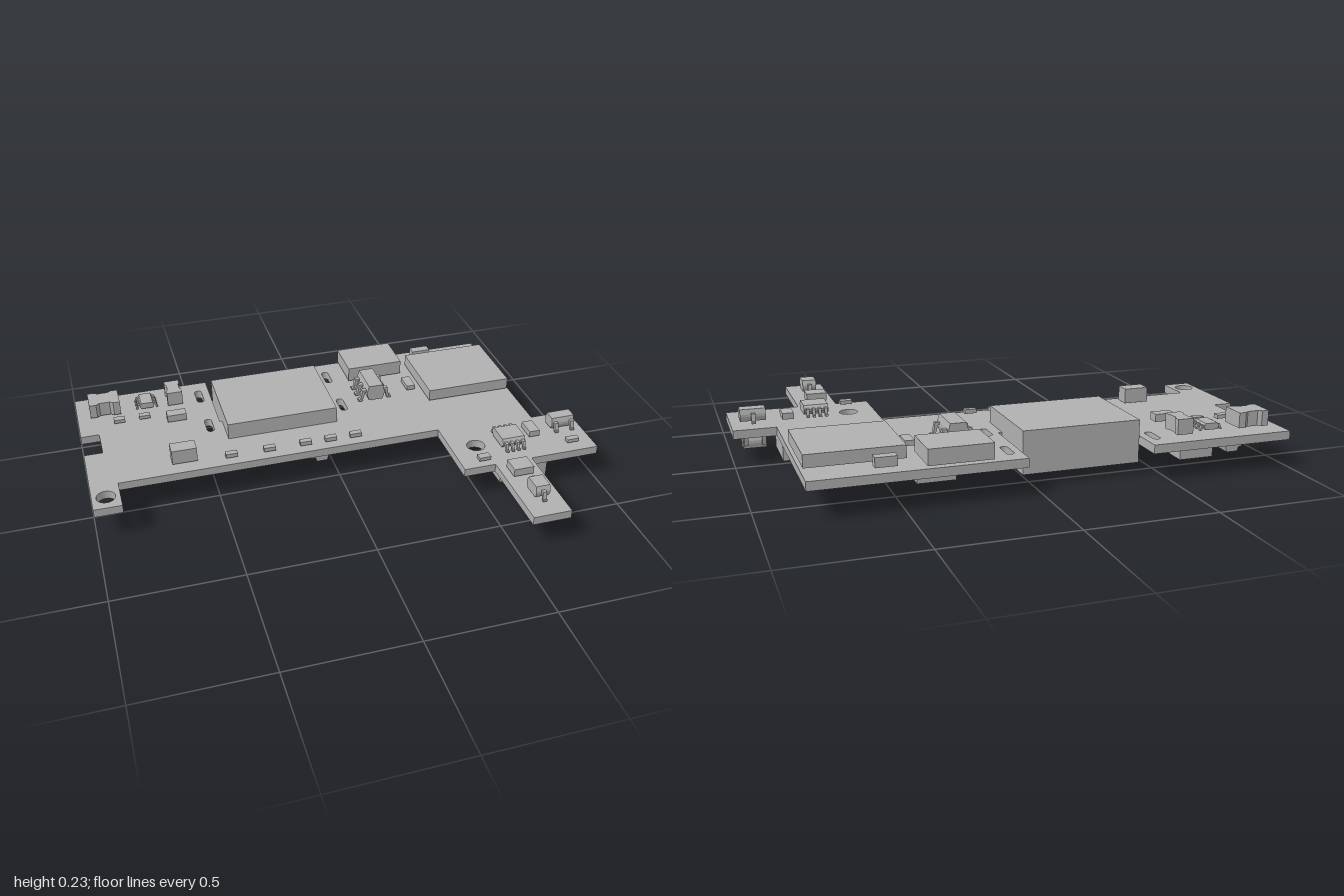
import * as THREE from 'three';

const grey = new THREE.MeshStandardMaterial({ color: 0xb0b0b0 });
grey.name = 'board grey';

const TOP = 0.15, UNDER = 0.1; // seating heights of the parts above and below the board

function add(parent, geometry, name) {
  const mesh = new THREE.Mesh(geometry, grey);
  mesh.name = name;
  parent.add(mesh);
  return mesh;
}

// box given by its limits
function block(parent, name, x0, x1, y0, y1, z0, z1) {
  const m = add(parent, new THREE.BoxGeometry(x1 - x0, y1 - y0, z1 - z0), name);
  m.position.set((x0 + x1) / 2, (y0 + y1) / 2, (z0 + z1) / 2);
}

// polygon extruded along y, between y0 and y1; points are [x, z]
function slab(points, y0, y1, holes = []) {
  const shape = new THREE.Shape(points.map(([x, z]) => new THREE.Vector2(x, -z)));
  shape.holes = holes;
  return new THREE.ExtrudeGeometry(shape, { depth: y1 - y0, bevelEnabled: false, curveSegments: 10 })
    .rotateX(-Math.PI / 2).translate(0, y0, 0);
}

function roundHole(x, z, r) {
  return new THREE.Path().absarc(x, -z, r, 0, Math.PI * 2, true);
}

function slot(x, z, r, half) {
  const p = new THREE.Path();
  p.absarc(x, -z + half, r, 0, Math.PI, false);
  p.absarc(x, -z - half, r, Math.PI, Math.PI * 2, false);
  return p;
}

// block with pinched long sides
function pinchedBlock(parent, name, x, z, w, d, y1, turn) {
  const a = w / 2, b = d / 2, t = w * 0.22, c = b * 0.8;
  const pts = [[-a, -b], [-a, b], [-a + t, b], [-a + t * 1.5, c], [a - t * 1.5, c], [a - t, b],
    [a, b], [a, -b], [a - t, -b], [a - t * 1.5, -c], [-a + t * 1.5, -c], [-a + t, -b]];
  const m = add(parent, slab(pts, TOP, y1), name);
  m.position.set(x, 0, z);
  m.rotation.y = turn;
}

// chip with tapered body along local z and bent legs on the local x sides
// pins: [side, position along z]
function chip(parent, name, { x, z, w, l, h, reach, pins, pinWidth = 0.016, turn = 0, under = false }) {
  const g = new THREE.Group();
  g.name = name;
  g.position.set(x, under ? UNDER : TOP, z);
  g.rotation.set(under ? Math.PI : 0, turn, 0);
  parent.add(g);
  const a = w / 2, low = h * 0.1, mid = h * 0.55, in1 = w * 0.1;
  const section = new THREE.Shape([[-a + in1, low], [a - in1, low], [a, mid * 0.8], [a, mid * 1.15],
    [a - in1, h], [-a + in1, h], [-a, mid * 1.15], [-a, mid * 0.8]].map(p => new THREE.Vector2(...p)));
  add(g, new THREE.ExtrudeGeometry(section, { depth: l, bevelEnabled: false }).translate(0, 0, -l / 2), 'chipBody');
  const t = Math.min(0.009, h * 0.2), e = a + reach, k = a + reach * 0.45;
  const leg = new THREE.Shape([[a - 0.006, mid], [k - t, mid], [k + t * 0.2, 0], [e, 0], [e, t],
    [k + t, t], [k + t * 0.3, mid + t], [a - 0.006, mid + t]].map(p => new THREE.Vector2(...p)));
  const legGeo = new THREE.ExtrudeGeometry(leg, { depth: pinWidth, bevelEnabled: false }).translate(0, 0, -pinWidth / 2);
  for (const [side, pz] of pins) {
    const m = add(g, legGeo, 'chipLeg');
    m.position.z = pz;
    if (side < 0) m.rotation.y = Math.PI;
  }
}

const bothSides = list => list.flatMap(p => [[1, p], [-1, p]]);

export function createModel() {
  const model = new THREE.Group();
  model.name = 'circuitBoard';

  // board with mounting holes and slots
  const outline = [[-1, -0.65], [-1, -0.36], [-0.925, -0.36], [-0.925, -0.225], [-1, -0.225], [-1, 0.145],
    [-0.89, 0.145], [-0.89, 0], [0.425, 0], [0.425, 0.295], [0.555, 0.295], [0.555, 0.65], [0.71, 0.65],
    [0.71, 0.295], [1, 0.295], [1, 0.02], [0.835, 0.02], [0.835, -0.65], [0.055, -0.65], [0.055, -0.32],
    [-0.43, -0.32], [-0.43, -0.65]];
  const holes = [roundHole(-0.945, 0.075, 0.037), roundHole(0.53, 0.15, 0.037)];
  for (const x of [-0.477, 0.098]) for (const z of [-0.538, -0.302]) holes.push(slot(x, z, 0.015, 0.032));
  add(model, slab(outline, 0.108, 0.142, holes), 'board');

  // large blocks
  block(model, 'edgeConnector', -0.42, 0.04, 0.045, 0.21, -0.545, -0.18);
  block(model, 'largeModule', 0.465, 0.825, TOP, 0.198, -0.535, -0.215);
  block(model, 'cornerModule', 0.18, 0.42, TOP, 0.21, -0.645, -0.47);
  block(model, 'undersideConnector', 0.61, 0.815, 0, 0.108, 0.03, 0.235);

  // pinched coils
  pinchedBlock(model, 'wideCoil', -0.882, -0.532, 0.126, 0.1, 0.21, 0);
  pinchedBlock(model, 'narrowCoil', -0.587, -0.54, 0.1, 0.064, 0.21, Math.PI / 2);

  // small parts on top: x0, x1, top height, z0, z1
  const upper = [
    [-0.855, -0.81, 0.165, -0.44, -0.412], [-0.75, -0.705, 0.165, -0.44, -0.415],
    [-0.64, -0.56, 0.18, -0.403, -0.36], [-0.67, -0.57, 0.21, -0.112, -0.052],
    [0.515, 0.595, 0.187, -0.61, -0.572], [0.4, 0.437, 0.17, -0.4, -0.322],
    [0.758, 0.802, 0.175, 0.088, 0.166], [0.497, 0.545, 0.165, 0.24, 0.27],
    [0.888, 0.938, 0.165, 0.225, 0.25], [0.585, 0.667, 0.182, 0.33, 0.402]];
  for (const x of [-0.435, -0.28, -0.13, -0.025, 0.08]) upper.push([x - 0.024, x + 0.024, 0.167, -0.058, -0.034]);
  for (const [x0, x1, y, z0, z1] of upper) block(model, 'smallPart', x0, x1, TOP, y, z0, z1);

  // small parts underneath: x0, x1, bottom height, z0, z1
  const lower = [
    [0.31, 0.45, 0.078, -0.61, -0.48], [0.59, 0.67, 0.085, 0.545, 0.62],
    [0.42, 0.455, 0.085, -0.45, -0.38], [-0.47, -0.42, 0.085, -0.2, -0.165],
    [-0.36, -0.3, 0.075, -0.165, -0.12], [-0.56, -0.51, 0.085, -0.18, -0.145]];
  for (const z of [-0.57, -0.42, -0.26]) lower.push([-0.69, -0.555, 0.062, z - 0.045, z + 0.045]);
  for (const z of [-0.18, -0.115, -0.06]) lower.push([0.365, 0.415, 0.085, z - 0.014, z + 0.014]);
  for (const z of [-0.54, -0.47, -0.4]) lower.push([0.13, 0.175, 0.085, z - 0.014, z + 0.014]);
  for (const [x0, x1, y, z0, z1] of lower) block(model, 'undersidePart', x0, x1, y, UNDER, z0, z1);

  // legged chips on top
  const quarter = Math.PI / 2;
  const five = [...bothSides([-0.05, 0.05]), [-1, 0]];
  const three = [[1, 0], [-1, -0.035], [-1, 0.035]];
  chip(model, 'fiveLegChip', { x: 0.243, z: -0.35, w: 0.076, l: 0.145, h: 0.075, reach: 0.034, pins: five, pinWidth: 0.02 });
  chip(model, 'sixLegChip', { x: -0.707, z: -0.532, w: 0.06, l: 0.08, h: 0.028, reach: 0.016,
    pins: bothSides([-0.028, 0, 0.028]), pinWidth: 0.012 });
  chip(model, 'eightLegChip', { x: 0.666, z: 0.163, w: 0.11, l: 0.096, h: 0.042, reach: 0.026,
    pins: bothSides([-0.036, -0.012, 0.012, 0.036]), pinWidth: 0.012, turn: quarter });
  chip(model, 'threeLegChip', { x: 0.915, z: 0.115, w: 0.06, l: 0.098, h: 0.053, reach: 0.024, pins: three, turn: quarter });
  chip(model, 'diode', { x: 0.631, z: 0.518, w: 0.084, l: 0.057, h: 0.053, reach: 0.022, pins: bothSides([0]), turn: quarter });

  // legged chips underneath
  chip(model, 'undersideFiveLegChip', { x: 0.24, z: -0.335, w: 0.076, l: 0.145, h: 0.075, reach: 0.03,
    pins: five, pinWidth: 0.02, under: true });
  chip(model, 'undersideThreeLegChip', { x: 0.913, z: 0.118, w: 0.06, l: 0.09, h: 0.055, reach: 0.024,
    pins: three, turn: quarter, under: true });
  for (const [x, z] of [[-0.817, -0.5], [-0.06, -0.1]]) {
    chip(model, 'undersideSmallChip', { x, z, w: 0.056, l: 0.095, h: 0.052, reach: 0.024, pins: three, under: true });
  }
  return model;
}
